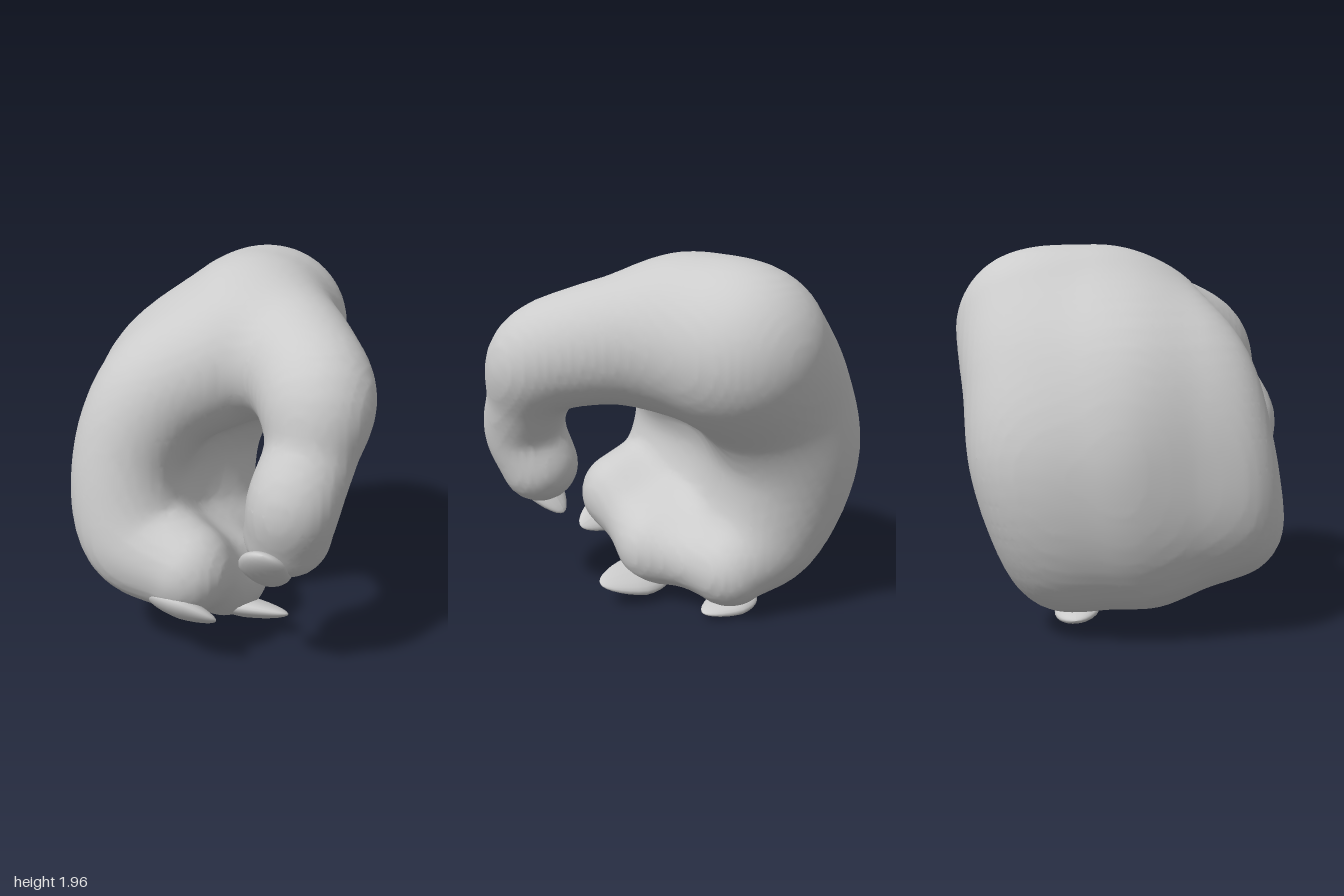
import * as THREE from 'three';

// Each limb is a path of [x, y, z, radius] stations, from wrist to tip
const INDEX = [[0.05, 1.53, 0.13, 0.33], [-0.31, 1.29, 0.35, 0.31], [-0.43, 0.95, 0.47, 0.28], [-0.35, 0.61, 0.52, 0.29], [-0.05, 0.5, 0.58, 0.235]];
const MIDDLE = [[0, 1.55, -0.12, 0.41], [-0.39, 1.29, 0, 0.36], [-0.51, 0.9, 0.02, 0.33], [-0.4, 0.48, 0.1, 0.3], [-0.01, 0.31, 0.2, 0.235]];
const OUTER = [[-0.02, 1.53, -0.45, 0.42], [-0.29, 1.25, -0.41, 0.39], [-0.44, 0.9, -0.38, 0.37], [-0.37, 0.47, -0.29, 0.32], [-0.14, 0.29, -0.25, 0.23]];
const THUMB = [[0.1, 1.56, -0.1, 0.36], [0.4, 1.5, 0.22, 0.31], [0.57, 1.4, 0.43, 0.28], [0.59, 1.2, 0.54, 0.22], [0.55, 0.98, 0.65, 0.22], [0.5, 0.79, 0.6, 0.21]];

// Flesh filling the groove between two neighbouring fingers, slimmer at the tip
function webBetween(a, b) {
  return a.map((station, i) => {
    const mid = station.map((v, q) => (v + b[i][q]) / 2);
    mid[3] *= i === a.length - 1 ? 0.85 : 0.97;
    return mid;
  });
}

// Smooth path sampled into tapered capsules
function sampleLimb(stations, steps = 28) {
  const path = new THREE.CatmullRomCurve3(stations.map(([x, y, z]) => new THREE.Vector3(x, y, z)));
  const radius = new THREE.SplineCurve(stations.map((s, i) => new THREE.Vector2(i, s[3])));
  const samples = [];
  for (let i = 0; i <= steps; i++) {
    samples.push({ p: path.getPoint(i / steps), r: radius.getPoint(i / steps).y });
  }
  return samples;
}

// Distance from a point to a tapered limb
function limbDistance(samples, x, y, z) {
  let best = Infinity;
  for (let i = 0; i < samples.length - 1; i++) {
    const a = samples[i], b = samples[i + 1];
    const dx = b.p.x - a.p.x, dy = b.p.y - a.p.y, dz = b.p.z - a.p.z;
    const px = x - a.p.x, py = y - a.p.y, pz = z - a.p.z;
    let t = (px * dx + py * dy + pz * dz) / (dx * dx + dy * dy + dz * dz);
    t = Math.min(1, Math.max(0, t));
    const d = Math.sqrt((px - t * dx) ** 2 + (py - t * dy) ** 2 + (pz - t * dz) ** 2);
    best = Math.min(best, d - a.r - t * (b.r - a.r));
  }
  return best;
}

function smoothMin(a, b, k) {
  const h = Math.max(k - Math.abs(a - b), 0) / k;
  return Math.min(a, b) - h * h * k / 4;
}

// Skin a distance field: one vertex per crossed cell, one quad per crossed edge
function skin(field, min, size, n) {
  const step = size / n, m = n + 1;
  const stride = [1, m, m * m];
  const values = new Float32Array(m ** 3);
  const cellVertex = new Int32Array(m ** 3).fill(-1);
  const positions = [], indices = [];
  for (let k = 0; k < m; k++) for (let j = 0; j < m; j++) for (let i = 0; i < m; i++) {
    values[i + j * m + k * m * m] = field(min.x + i * step, min.y + j * step, min.z + k * step);
  }
  for (let k = 0; k < n; k++) for (let j = 0; j < n; j++) for (let i = 0; i < n; i++) {
    const cell = i + j * m + k * m * m;
    const sum = [0, 0, 0];
    let count = 0;
    for (let c = 0; c < 8; c++) for (let a = 0; a < 3; a++) {
      if (c & (1 << a)) continue;
      const corner = [c & 1, (c >> 1) & 1, (c >> 2) & 1];
      const at = cell + corner[0] + corner[1] * m + corner[2] * m * m;
      const v0 = values[at], v1 = values[at + stride[a]];
      if ((v0 < 0) === (v1 < 0)) continue;
      corner[a] += v0 / (v0 - v1);
      for (let q = 0; q < 3; q++) sum[q] += corner[q];
      count++;
    }
    if (!count) continue;
    cellVertex[cell] = positions.length / 3;
    positions.push(
      min.x + (i + sum[0] / count) * step,
      min.y + (j + sum[1] / count) * step,
      min.z + (k + sum[2] / count) * step);
  }
  for (let k = 1; k < n; k++) for (let j = 1; j < n; j++) for (let i = 1; i < n; i++) {
    const at = i + j * m + k * m * m;
    for (let a = 0; a < 3; a++) {
      const inside = values[at] < 0;
      if (inside === (values[at + stride[a]] < 0)) continue;
      const b = stride[(a + 1) % 3], c = stride[(a + 2) % 3];
      const quad = [at - b - c, at - c, at, at - b].map((q) => cellVertex[q]);
      if (!inside) quad.reverse();
      indices.push(quad[0], quad[1], quad[2], quad[0], quad[2], quad[3]);
    }
  }
  const geometry = new THREE.BufferGeometry();
  geometry.setAttribute('position', new THREE.Float32BufferAttribute(positions, 3));
  geometry.setIndex(indices);
  geometry.computeVertexNormals();
  return geometry;
}

// Flattened oval nail that narrows towards its tip
function makeClaw(name, base, tip, across, width, thickness, material) {
  const start = new THREE.Vector3(...base), end = new THREE.Vector3(...tip);
  const along = end.clone().sub(start);
  const half = along.length() / 2;
  along.normalize();
  const side = new THREE.Vector3(...across);
  side.addScaledVector(along, -side.dot(along)).normalize();
  const up = side.clone().cross(along);
  const geometry = new THREE.SphereGeometry(1, 20, 14).rotateZ(-Math.PI / 2);
  const pos = geometry.attributes.position;
  for (let i = 0; i < pos.count; i++) {
    const x = pos.getX(i), taper = 1 - 0.3 * Math.max(0, x);
    pos.setXYZ(i, x * half, pos.getY(i) * thickness * taper, pos.getZ(i) * width * taper);
  }
  geometry.applyMatrix4(new THREE.Matrix4().makeBasis(along, up, side)
    .setPosition(start.add(end).multiplyScalar(0.5)));
  geometry.computeVertexNormals();
  const claw = new THREE.Mesh(geometry, material);
  claw.name = name;
  return claw;
}

export function createModel() {
  const group = new THREE.Group();
  group.name = 'curledPaw';
  const material = new THREE.MeshStandardMaterial({ color: 0xcccccc });

  // Palm, fingers and thumb blended into one skin
  const limbs = [INDEX, webBetween(INDEX, MIDDLE), MIDDLE, webBetween(MIDDLE, OUTER), OUTER, THUMB]
    .map((stations) => sampleLimb(stations));
  const field = (x, y, z) => limbs
    .map((limb) => limbDistance(limb, x, y, z))
    .reduce((a, b) => smoothMin(a, b, 0.1));
  const paw = new THREE.Mesh(skin(field, new THREE.Vector3(-1.1, -0.1, -1.1), 2.2, 64), material);
  paw.name = 'palmAndFingers';
  group.add(paw);

  // Claws
  group.add(
    makeClaw('indexClaw', [-0.2, 0.38, 0.72], [0.17, 0.3, 0.7], [0, 0.6, 0.7], 0.12, 0.055, material),
    makeClaw('middleClaw', [-0.09, 0.12, 0.2], [0.37, 0.15, 0.24], [0, 0.4, 0.9], 0.14, 0.055, material),
    makeClaw('outerClaw', [-0.33, 0.055, -0.24], [0.05, 0.055, -0.25], [0, 0.1, 1], 0.12, 0.045, material),
    makeClaw('thumbClaw', [0.48, 0.78, 0.86], [0.38, 0.48, 0.56], [1, 0, 0], 0.13, 0.055, material));

  return group;
}
